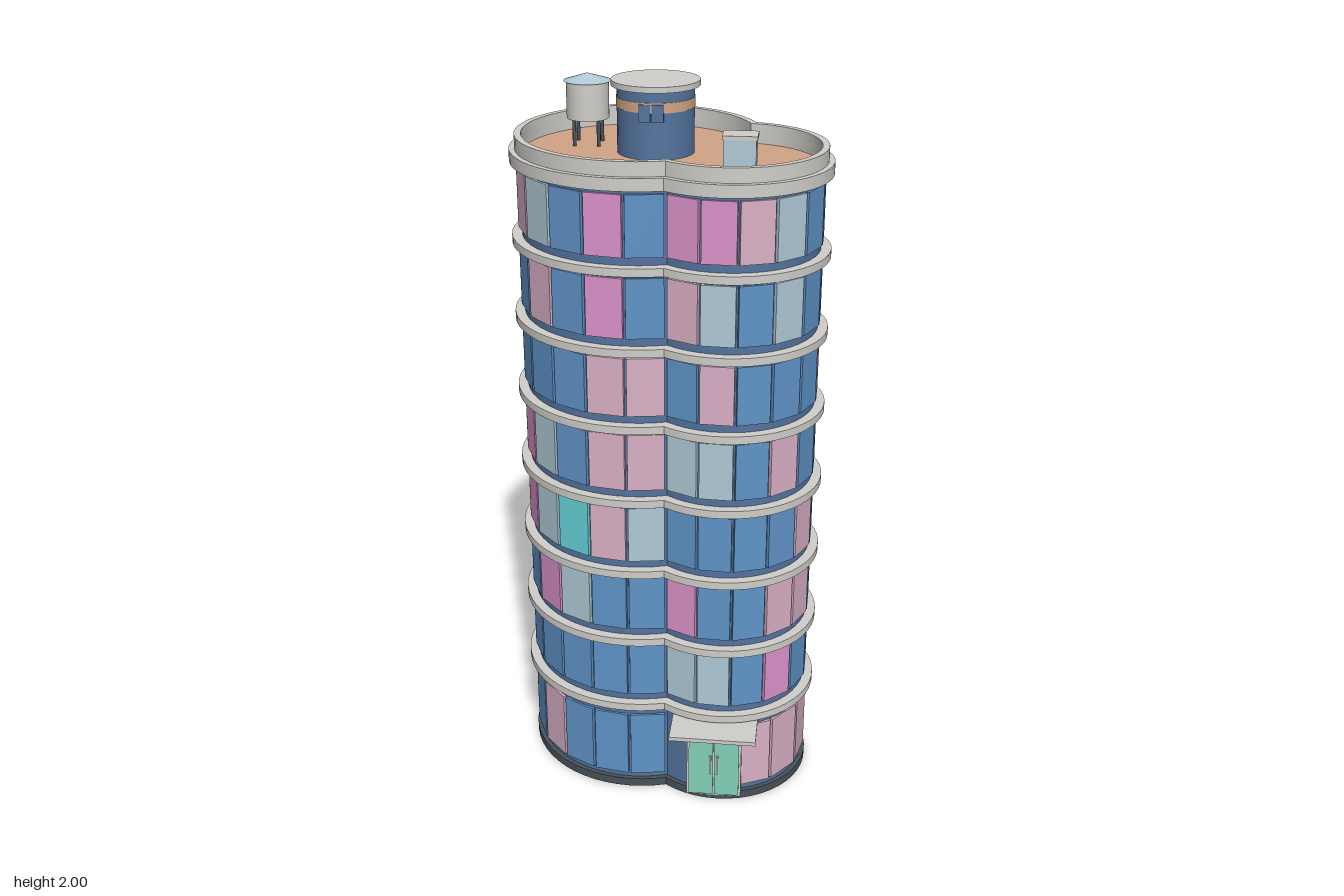
import * as THREE from 'three';
import { toCreasedNormals } from 'three/addons/utils/BufferGeometryUtils.js';

const mat = (name, color) => {
  const m = new THREE.MeshStandardMaterial({ color });
  m.name = name;
  return m;
};

// Two overlapping round towers, seen in plan
const BIG = { x: -0.087, z: -0.0545, r: 0.325, panels: 14 };
const SMALL = { x: 0.167, z: 0.058, r: 0.245, panels: 9 };

// Exposed arc (start angle and sweep) of each circle, grown by an offset
function arcs(offset) {
  const R = BIG.r + offset, r = SMALL.r + offset;
  const dx = SMALL.x - BIG.x, dz = SMALL.z - BIG.z;
  const d = Math.hypot(dx, dz), dir = Math.atan2(dz, dx);
  const a = (d * d + R * R - r * r) / (2 * d);
  const hb = Math.acos(a / R), hs = Math.acos((d - a) / r);
  return {
    big: { ...BIG, r: R, start: dir + hb, sweep: 2 * Math.PI - 2 * hb },
    small: { ...SMALL, r, start: dir + Math.PI - hs, sweep: -(2 * Math.PI - 2 * hs) },
  };
}

function outline(offset) {
  const { big, small } = arcs(offset);
  const pts = [];
  const add = (c, from, sweep) => {
    const n = c.panels * 3;
    for (let i = 0; i < n; i++) {
      const t = from + sweep * i / n;
      pts.push(new THREE.Vector2(c.x + c.r * Math.cos(t), c.z + c.r * Math.sin(t)));
    }
  };
  add(big, big.start, big.sweep);
  add(small, small.start + small.sweep, -small.sweep);
  return pts;
}

// Slab following the plan outline; an inner offset makes it a ring
function slab(offset, y0, y1, inner) {
  const shape = new THREE.Shape(outline(offset));
  if (inner !== undefined) shape.holes.push(new THREE.Path(outline(inner)));
  const g = new THREE.ExtrudeGeometry(shape, { depth: y1 - y0, bevelEnabled: false });
  g.rotateX(Math.PI / 2);
  g.translate(0, y1, 0);
  return toCreasedNormals(g, 0.5);
}

// Glass colours per floor: big tower, then small tower
const FLOORS = [
  ['BBBLBBSSSBLLPP', 'LLLPPS'],
  ['BBBBBBLLBPBLBS', 'SSBPBBGLB'],
  ['BBSPBBLLBLLBBS', 'PBBLLBLLB'],
  ['SLCSPBBSLLLPBS', 'BBBBLBLPS'],
  ['LLBSPBSSBBBBSP', 'SSBLBBLCS'],
  ['LLBBBLLCPLLGSL', 'BLBBBLPBP'],
  ['BPBLBLBBLLLBLS', 'LSBSBBSLL'],
  ['BPBSLLBPLLLBLB', 'PPLSBBLPL'],
];

export function createModel() {
  const model = new THREE.Group();
  model.name = 'roundTower';

  const wall = mat('slateBlueWall', 0x54749f);
  const trim = mat('lightGreyTrim', 0xd0cfcb);
  const tan = mat('tanRoof', 0xd2a586);
  const dark = mat('darkBase', 0x48525a);
  const glass = {
    B: mat('blueGlass', 0x6094c8),
    P: mat('pinkGlass', 0xdc94cc),
    L: mat('palePinkGlass', 0xdab0c6),
    S: mat('paleBlueGlass', 0xb0cad6),
    G: mat('greenGlass', 0x84d2ba),
    C: mat('cyanGlass', 0x68d4da),
  };

  const add = (name, geometry, material, x = 0, y = 0, z = 0, parent = model) => {
    const m = new THREE.Mesh(geometry, material);
    m.name = name;
    m.position.set(x, y, z);
    parent.add(m);
    return m;
  };
  const box = (name, material, w, h, d, x, y, z) =>
    add(name, new THREE.BoxGeometry(w, h, d), material, x, y, z);

  // Plinth, wall and floor ledges
  add('plinth', slab(0.004, 0, 0.025), dark);
  add('wall', slab(-0.009, 0.025, 1.8), wall);
  const STEP = 0.2165, FIRST = 0.285;
  for (let k = 0; k < 7; k++) {
    const y = FIRST + STEP * k;
    add('floorLedge', slab(0.018, y - 0.011, y + 0.011), trim);
  }

  // Roof deck and parapet
  add('roofDeck', slab(-0.012, 1.795, 1.81), tan);
  add('roofLedge', slab(0.018, 1.792, 1.825, -0.015), trim);
  add('parapet', slab(0.003, 1.825, 1.863, -0.015), trim);

  // Flat glass panels set round each exposed arc
  const windows = new THREE.Group();
  windows.name = 'windows';
  model.add(windows);
  function panelRing(c, start, sweep, colours, y0, y1) {
    const step = sweep / colours.length;
    const w = 2 * c.r * Math.sin(Math.abs(step) / 2) - 0.008;
    const g = new THREE.BoxGeometry(w, y1 - y0, 0.012);
    const dist = c.r * Math.cos(step / 2) - 0.005;
    [...colours].forEach((key, i) => {
      const t = start + step * (i + 0.5);
      const p = add('windowPanel', g, glass[key],
        c.x + dist * Math.cos(t), (y0 + y1) / 2, c.z + dist * Math.sin(t), windows);
      p.rotation.y = Math.PI / 2 - t;
    });
  }
  const { big, small } = arcs(0);
  FLOORS.forEach(([bigRow, smallRow], k) => {
    const base = FIRST + STEP * (k - 1);
    const y0 = k ? base + 0.033 : 0.042, y1 = k ? base + 0.195 : 0.245;
    panelRing(big, big.start, big.sweep, bigRow, y0, y1);
    // The ground floor of the small tower leaves room for the entrance
    const start = k ? small.start : THREE.MathUtils.degToRad(77);
    panelRing(small, start, small.start + small.sweep - start, smallRow, y0, y1);
  });

  // Entrance: frame, two leaves, handles and canopy
  const doorX = 0.162;
  box('doorFrame', trim, 0.156, 0.222, 0.05, doorX, 0.125, 0.284);
  for (const s of [-1, 1]) {
    box('doorLeaf', glass.G, 0.07, 0.205, 0.008, doorX + s * 0.037, 0.123, 0.31);
    box('doorHandle', trim, 0.006, 0.06, 0.008, doorX + s * 0.01, 0.125, 0.317);
  }
  box('canopy', trim, 0.242, 0.012, 0.15, doorX, 0.26, 0.317);

  // Roof room with a painted band and a round cap
  const cx = -0.042, cz = -0.054;
  const drum = (r, h, seg = 32) => new THREE.CylinderGeometry(r, r, h, seg);
  add('roofRoom', drum(0.102, 0.18), wall, cx, 1.898, cz);
  add('roofRoomBand', drum(0.104, 0.026), tan, cx, 1.944, cz);
  add('roofRoomCap', drum(0.117, 0.015), trim, cx, 1.9925, cz);
  for (const s of [-1, 1]) {
    box('roofRoomVent', wall, 0.03, 0.044, 0.01, cx + s * 0.017, 1.931, cz + 0.101);
  }

  // Water tank on legs
  const tx = -0.232, tz = -0.12;
  add('tankBody', drum(0.057, 0.1, 24), trim, tx, 1.93, tz);
  add('tankRoof', new THREE.ConeGeometry(0.064, 0.02, 24), glass.S, tx, 1.988, tz);
  for (let i = 0; i < 4; i++) {
    const t = Math.PI / 4 + i * Math.PI / 2;
    add('tankLeg', drum(0.005, 0.08, 8), dark,
      tx + 0.046 * Math.cos(t), 1.848, tz + 0.046 * Math.sin(t));
  }

  // Skylight box
  box('skylightBody', glass.S, 0.084, 0.07, 0.06, 0.188, 1.843, 0.055);
  box('skylightLid', trim, 0.091, 0.01, 0.066, 0.188, 1.883, 0.055);

  return model;
}
